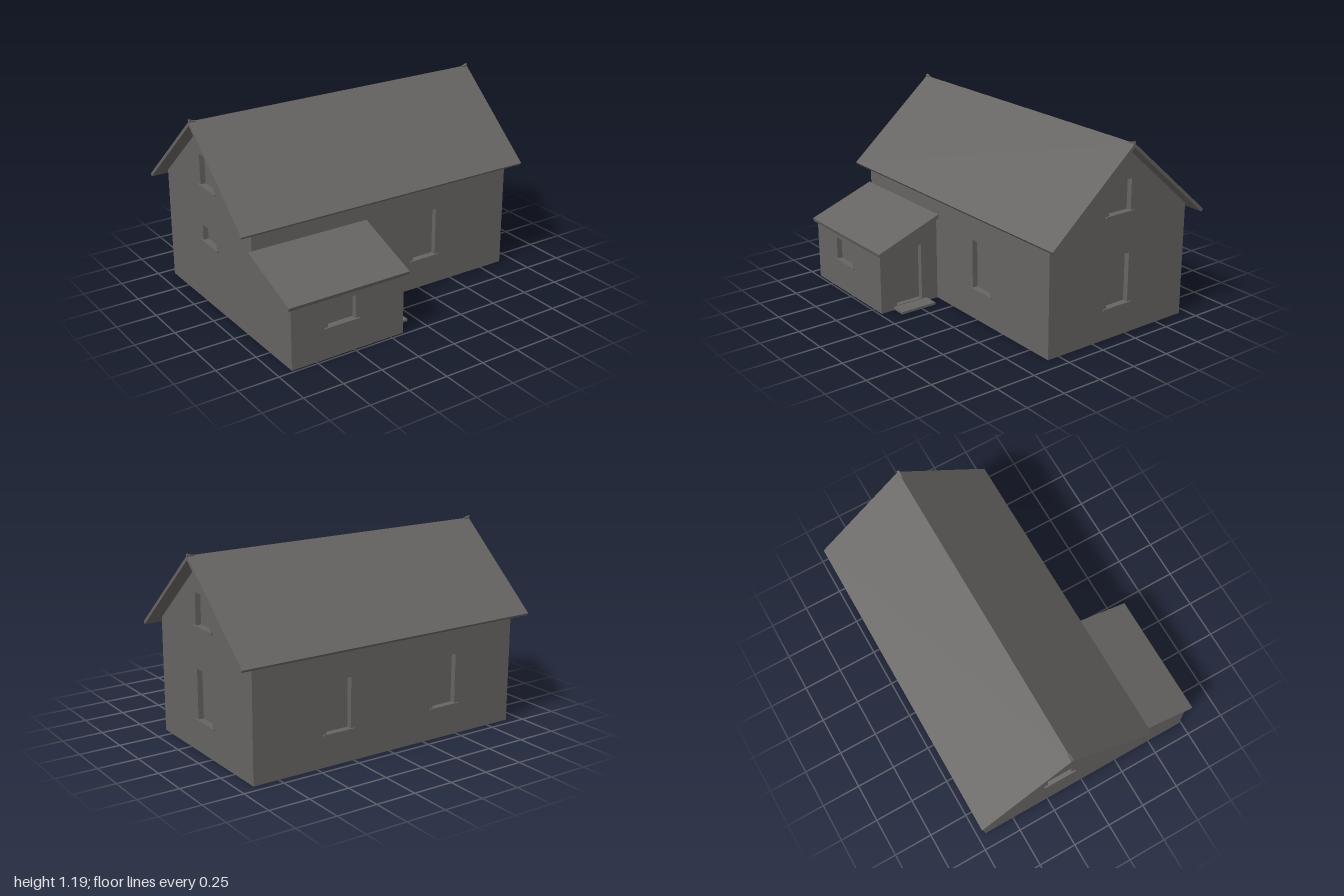
import * as THREE from 'three';

const D = 0.035;              // wall thickness = depth of window reveals
const HX = 0.91;              // half length of the house
const ZF = 0.328, ZB = -0.698, ZR = -0.185, ZP = 0.735; // front, back, ridge, porch front
const PX = -0.165;            // porch door wall
const EAVE = 0.707, PEAK = 1.155;
const PORCH_HI = 0.528, PORCH_LO = 0.377;
const SILL = 0.025;           // sill overhang at each side

export function createModel() {
  const house = new THREE.Group();
  house.name = 'house';
  const grey = new THREE.MeshStandardMaterial({ color: 0x666462 });
  grey.name = 'warm grey';

  const add = (parent, name, geometry, x = 0, y = 0, z = 0) => {
    const mesh = new THREE.Mesh(geometry, grey);
    mesh.name = name;
    mesh.position.set(x, y, z);
    parent.add(mesh);
    return mesh;
  };
  const polygon = (pts) => new THREE.Shape(pts.map(([u, v]) => new THREE.Vector2(u, v)));
  const extrude = (shape, depth) => new THREE.ExtrudeGeometry(shape, { depth, bevelEnabled: false });

  // A wall in its own plane, outside facing local +z, with recessed openings [u0, u1, v0, v1]
  function wall(name, points, openings, position, turn) {
    const group = new THREE.Group();
    group.name = name;
    group.position.set(...position);
    group.rotation.y = turn;
    const shape = polygon(points);
    for (const { type, at: [u0, u1, v0, v1] } of openings) {
      shape.holes.push(new THREE.Path([[u0, v0], [u1, v0], [u1, v1], [u0, v1]]
        .map(([u, v]) => new THREE.Vector2(u, v))));
      const u = (u0 + u1) / 2, w = u1 - u0;
      add(group, type + 'Pane', new THREE.BoxGeometry(w + 0.01, v1 - v0 + 0.01, 0.006),
        u, (v0 + v1) / 2, -D - 0.002);
      if (type === 'window') {
        add(group, 'windowSill', new THREE.BoxGeometry(w + 2 * SILL, 0.01, 0.022), u, v0 - 0.004, -0.001);
      }
    }
    add(group, name + 'Panel', extrude(shape, D), 0, 0, -D);
    house.add(group);
  }
  const win = (...at) => ({ type: 'window', at });
  const rect = (u0, u1, v) => [[u0, 0], [u1, 0], [u1, v], [u0, v]];

  // Long walls, fitted between the gables
  wall('frontWall', rect(-HX + D, HX - D, EAVE), [win(0.209, 0.374, 0.195, 0.5)], [0, 0, ZF], 0);
  wall('backWall', rect(-HX + D, HX - D, EAVE),
    [win(-0.436, -0.271, 0.195, 0.5), win(0.318, 0.483, 0.195, 0.5)], [0, 0, ZB], Math.PI);

  // Left gable: u = -z
  wall('leftGable', [[-ZF, 0], [-ZB, 0], [-ZB, EAVE], [-ZR, PEAK], [-ZF, EAVE]],
    [win(0.095, 0.26, 0.195, 0.5), win(0.095, 0.26, 0.755, 0.945)], [HX, 0, 0], Math.PI / 2);

  // Right gable runs on into the porch side: u = z
  wall('rightGable', [[ZB, 0], [ZP, 0], [ZP, PORCH_LO], [ZF, PORCH_HI], [ZF, EAVE], [ZR, PEAK], [ZB, EAVE]],
    [win(-0.26, -0.095, 0.4, 0.5), win(-0.26, -0.095, 0.755, 0.945)], [-HX, 0, 0], -Math.PI / 2);

  // Porch walls
  wall('porchFront', rect(-HX + D, PX - D, PORCH_LO), [win(-0.674, -0.492, 0.195, 0.338)], [0, 0, ZP], 0);
  wall('porchSide', [[-ZP, 0], [-ZF, 0], [-ZF, PORCH_HI], [-ZP, PORCH_LO]],
    [{ type: 'door', at: [-0.626, -0.443, 0.025, 0.381] }], [PX, 0, 0], Math.PI / 2);
  add(house, 'doorStep', new THREE.BoxGeometry(0.1, 0.015, 0.24), PX + 0.046, 0.0145, 0.53);

  // Floor under house and porch
  const floor = polygon([[-HX, -ZP], [PX, -ZP], [PX, -ZF], [HX, -ZF], [HX, -ZB], [-HX, -ZB]]);
  add(house, 'floor', extrude(floor, 0.004)).rotation.x = -Math.PI / 2;

  // Roof slabs: [z, y] profiles carried along x
  function roof(name, profile, x0, x1) {
    const mesh = add(house, name, extrude(polygon(profile.map(([z, y]) => [-z, y])), x1 - x0), x0, 0, 0);
    mesh.rotation.y = Math.PI / 2;
  }
  roof('mainRoof', [
    [ZR, 1.18], [ZR + 0.57, 0.682], [ZR + 0.558, 0.667],
    [ZR, PEAK], [ZR - 0.558, 0.667], [ZR - 0.57, 0.682],
  ], -1, 1);
  roof('porchRoof', [[ZF, 0.555], [0.757, 0.395], [0.75, 0.373], [ZF, PORCH_HI]], -0.933, -0.14);

  // Small raised ridge ends
  for (const s of [-1, 1]) {
    add(house, 'ridgeEnd', extrude(polygon([[s, 1.165], [s, 1.192], [s * 0.955, 1.178], [s * 0.955, 1.165]]), 0.014),
      0, 0, ZR - 0.007);
  }
  return house;
}
